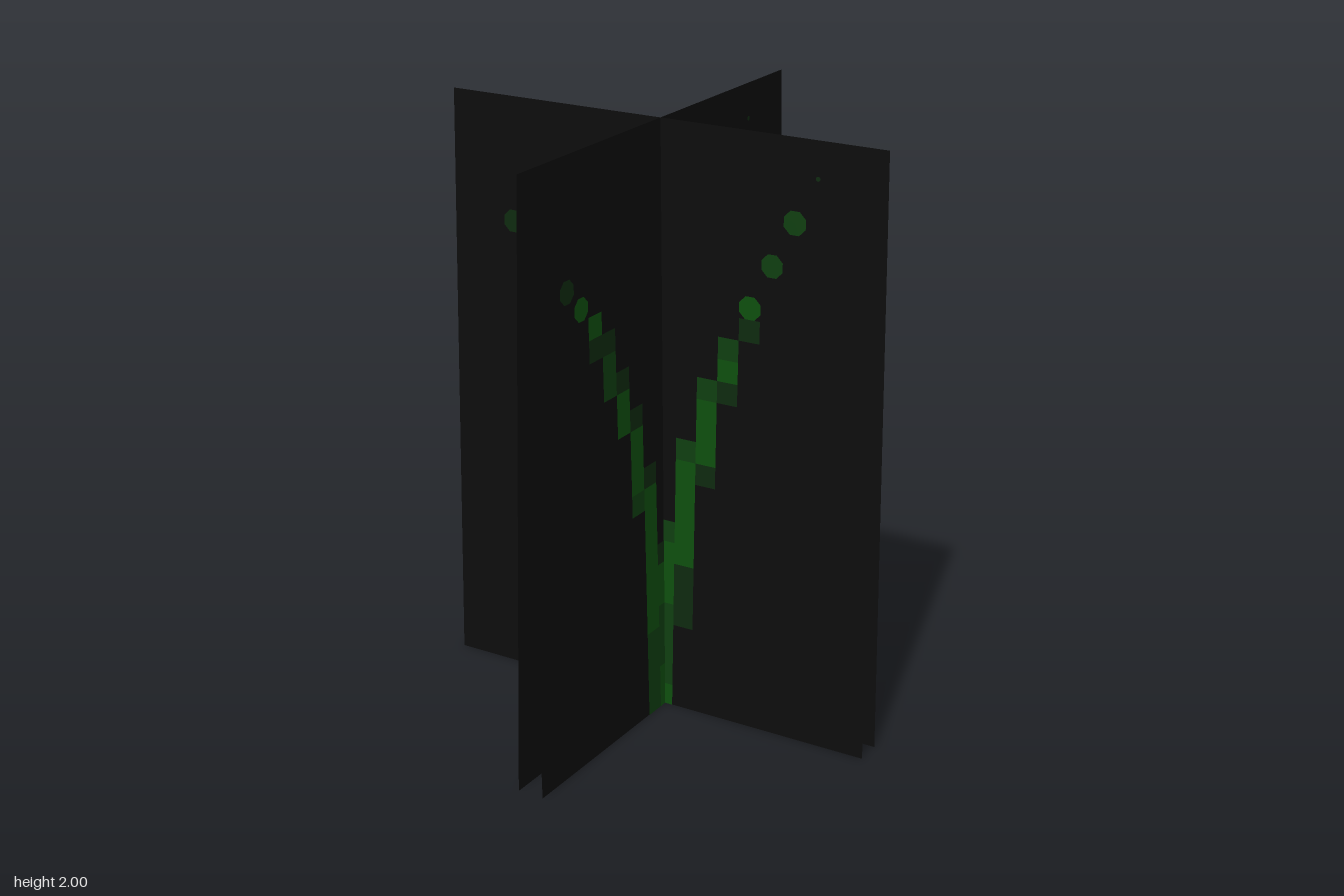
import * as THREE from 'three';
import { mergeGeometries } from 'three/addons/utils/BufferGeometryUtils.js';

const HEIGHT = 2, WIDTH = 1.57, SPLAY = 0.045;
const CELL = 0.0738; // grid size of the painted sprout

const mat = (name, color) => {
  const m = new THREE.MeshStandardMaterial({ color, side: THREE.DoubleSide });
  m.name = name;
  return m;
};

// Runs of painted cells: [column, first row, last row]
const RUNS = {
  dark: [[-1, 7, 7], [-2, 11, 11], [-3, 14, 14], [-4, 16, 16], [-5, 18, 18], [-6, 18, 18],
    [1, 4, 6], [2, 11, 11], [3, 15, 15], [4, 18, 18]],
  mid: [[0, 1, 4], [0, 8, 8], [-1, 2, 4], [-2, 0, 3], [-3, 10, 10], [-5, 16, 17],
    [1, 12, 12], [2, 15, 15], [3, 17, 17]],
  bright: [[0, 0, 0], [0, 5, 7], [-1, 0, 1], [-1, 5, 6], [-2, 4, 10], [-3, 11, 13],
    [-4, 14, 15], [-6, 19, 19], [1, 7, 11], [2, 12, 14], [3, 16, 16]],
};
// Loose rounded dots: [column, row, radius]
const DOTS = {
  dark: [[-8, 21, 0.04], [7, 25, 0.008]],
  mid: [[5, 21, 0.04], [6, 23, 0.041]],
  bright: [[-7, 20, 0.04], [4, 19, 0.041]],
};

// All marks of one colour, on both faces of a sheet hanging from its top edge
function marks(tone) {
  const parts = [];
  for (const z of [0.0015, -0.0015]) {
    for (const [col, a, b] of RUNS[tone]) {
      const h = (b - a + 1) * CELL;
      parts.push(new THREE.PlaneGeometry(CELL, h)
        .translate((col + 0.5) * CELL, a * CELL + h / 2 - HEIGHT, z));
    }
    for (const [col, row, r] of DOTS[tone]) {
      parts.push(new THREE.CircleGeometry(r, 8).rotateZ(Math.PI / 8)
        .translate((col + 0.5) * CELL, (row + 0.5) * CELL - HEIGHT, z));
    }
  }
  return mergeGeometries(parts);
}

export function createModel() {
  const model = new THREE.Group();
  model.name = 'crossedSproutCards';
  const black = mat('black', 0x0d0d0d);
  const greens = {
    dark: mat('darkGreen', 0x0e2a0f),
    mid: mat('midGreen', 0x0f3f10),
    bright: mat('brightGreen', 0x0e4f0e),
  };
  const sheetGeo = new THREE.PlaneGeometry(WIDTH, HEIGHT).translate(0, -HEIGHT / 2, 0);
  const markGeos = Object.keys(greens).map((tone) => [tone, marks(tone)]);
  const lean = Math.asin(SPLAY / HEIGHT);

  // Two cards at right angles, each a pair of sheets joined at the top and splayed below
  for (const [cardName, turn] of [['frontCard', 0], ['sideCard', Math.PI / 2]]) {
    const card = new THREE.Group();
    card.name = cardName;
    card.rotation.y = turn;
    for (const side of [1, -1]) {
      const leaf = new THREE.Group();
      leaf.name = side > 0 ? 'outerSheet' : 'oppositeSheet';
      leaf.position.y = HEIGHT;
      leaf.rotation.x = -side * lean;
      const sheet = new THREE.Mesh(sheetGeo, black);
      sheet.name = 'sheet';
      leaf.add(sheet);
      for (const [tone, geo] of markGeos) {
        const paint = new THREE.Mesh(geo, greens[tone]);
        paint.name = tone + 'SproutMarks';
        leaf.add(paint);
      }
      card.add(leaf);
    }
    model.add(card);
  }
  return model;
}
